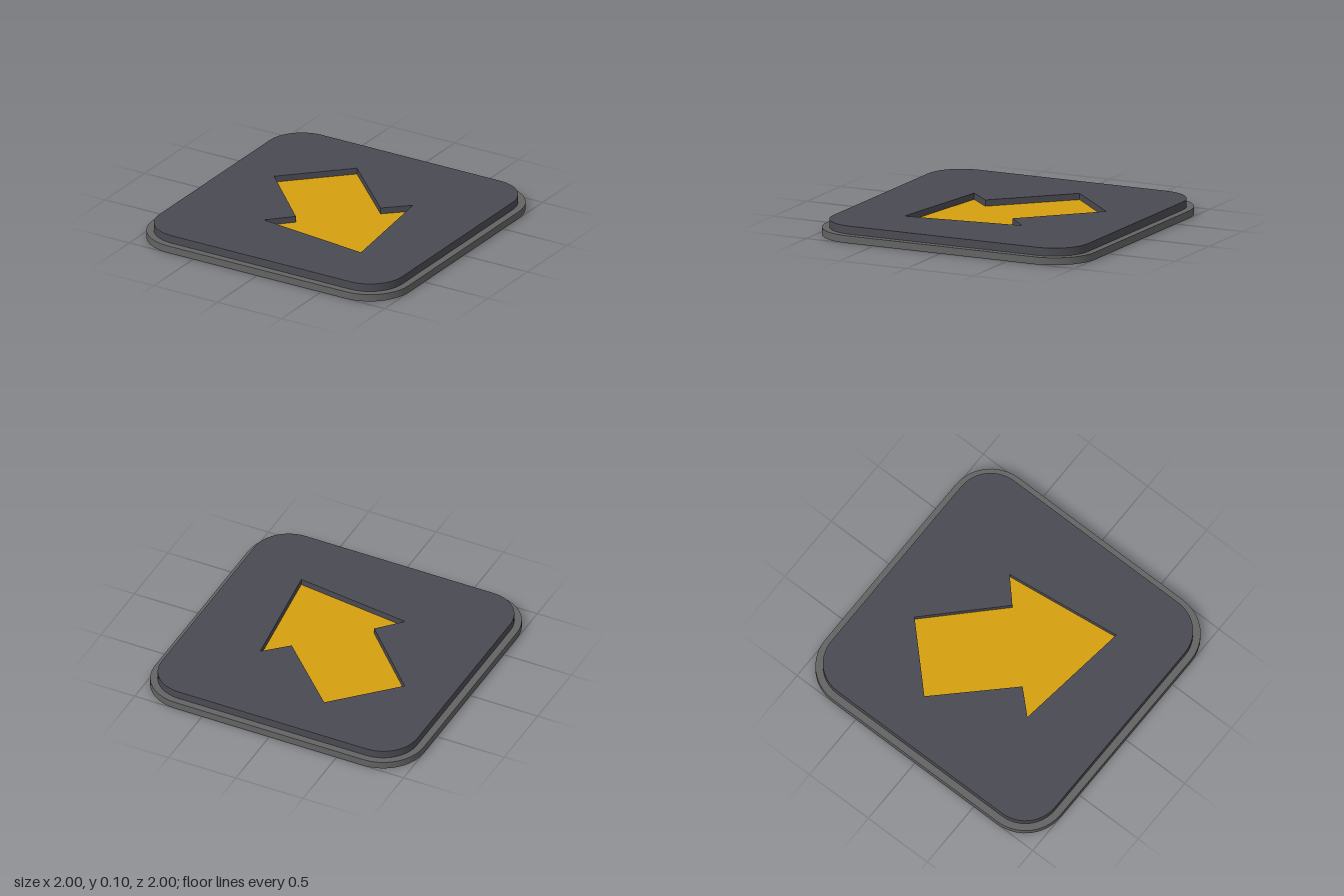
import * as THREE from 'three';
import { toCreasedNormals } from 'three/addons/utils/BufferGeometryUtils.js';

// Square outline with rounded corners, centred on the origin
function roundedSquare(half, radius) {
  const shape = new THREE.Shape();
  const c = half - radius;
  const centres = [[c, c], [-c, c], [-c, -c], [c, -c]];
  centres.forEach(([x, y], i) => {
    shape.absarc(x, y, radius, i * Math.PI / 2, (i + 1) * Math.PI / 2, false);
  });
  return shape.closePath();
}

// Arrow outline: one half, mirrored across the diagonal it points along
function arrowPoints() {
  const half = [[0.513, 0.513], [0.41, -0.31], [0.25, -0.16], [-0.22, -0.62]];
  const mirrored = half.slice(1).reverse().map(([x, z]) => [z, x]);
  return [...half, ...mirrored].map(([x, z]) => new THREE.Vector2(x, -z));
}

// Lay a shape flat and raise it from y = bottom to y = top
function slab(name, shape, bottom, top, color) {
  const geometry = new THREE.ExtrudeGeometry(shape, {
    depth: top - bottom, bevelEnabled: false, curveSegments: 5,
  });
  geometry.rotateX(-Math.PI / 2).translate(0, bottom, 0);
  const mesh = new THREE.Mesh(
    toCreasedNormals(geometry, 0.5),
    new THREE.MeshStandardMaterial({ color }),
  );
  mesh.name = name;
  return mesh;
}

export function createModel() {
  const group = new THREE.Group();
  group.name = 'arrowTile';

  // Wide base that shows as a rim around the plate
  group.add(slab('base', roundedSquare(1, 0.3), 0, 0.05, 0x636363));

  // Upper plate with an arrow cut through it
  const plate = roundedSquare(0.95, 0.25);
  plate.holes.push(new THREE.Path(arrowPoints()));
  group.add(slab('plate', plate, 0.05, 0.105, 0x4a4a52));

  // Coloured arrow sunk in the cutout
  group.add(slab('arrow', new THREE.Shape(arrowPoints()), 0.05, 0.062, 0xd69f10));

  return group;
}
